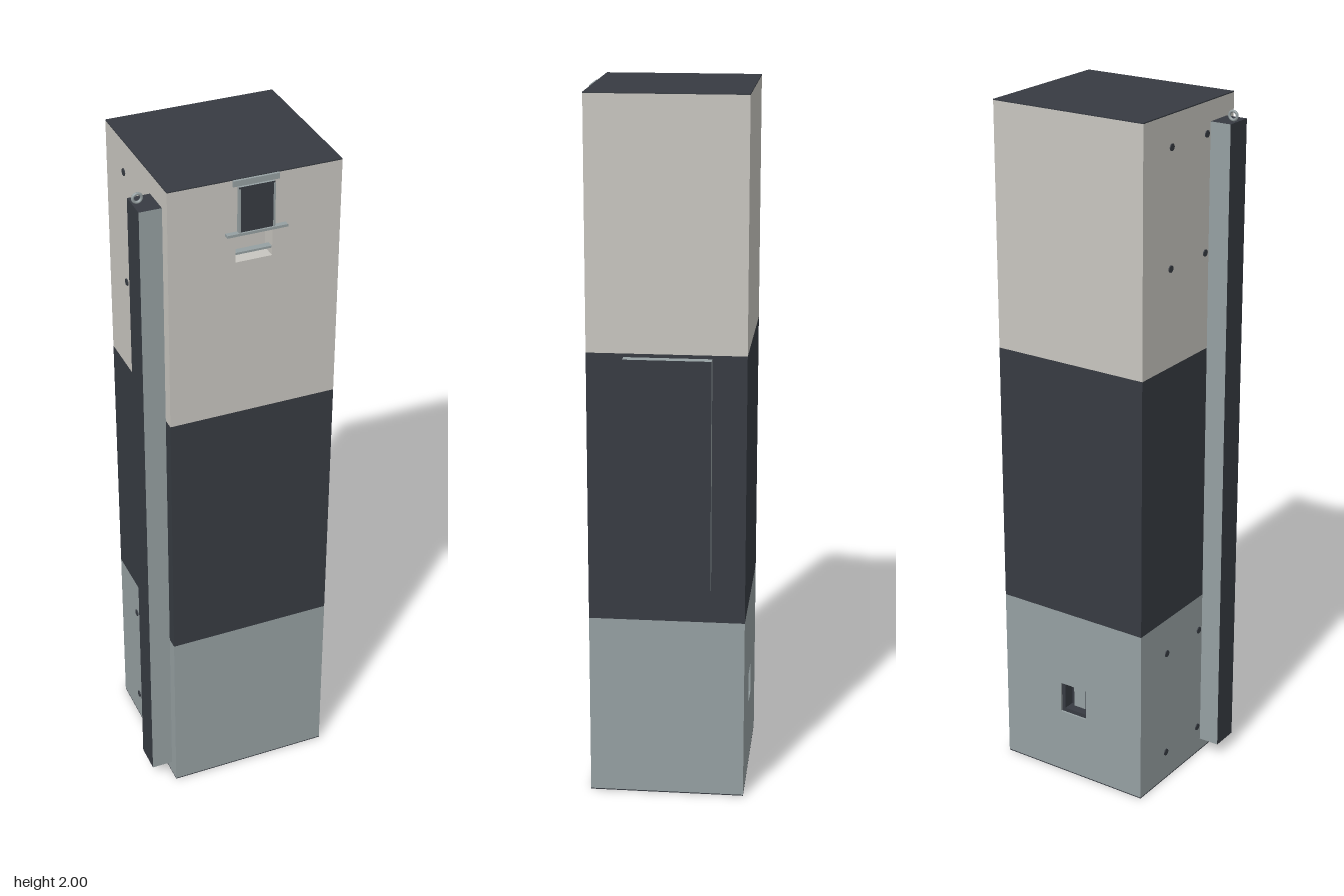
import * as THREE from 'three';

export function createModel() {
  const model = new THREE.Group();
  const paint = (name, color) => {
    const m = new THREE.MeshStandardMaterial({ color });
    m.name = name;
    return m;
  };
  const beige = paint('warm beige', 0xc8c6c0);
  const dark = paint('charcoal', 0x373b42);
  const grey = paint('cool grey', 0x96a0a2);

  const add = (name, geometry, material, parent = model) => {
    const mesh = new THREE.Mesh(geometry, material);
    mesh.name = name;
    parent.add(mesh);
    return mesh;
  };
  // Box given by its limits; material may be an array in +x -x +y -y +z -z order
  const box = (name, [x0, x1], [y0, y1], [z0, z1], material) => {
    const g = new THREE.BoxGeometry(x1 - x0, y1 - y0, z1 - z0);
    g.translate((x0 + x1) / 2, (y0 + y1) / 2, (z0 + z1) / 2);
    return add(name, g, material);
  };
  // Slab whose rectangular opening forms the walls of a recess
  const openSlab = (name, [x0, x1], [y0, y1], [z0, z1], [hx0, hx1, hy0, hy1], material) => {
    const rect = (Type, a, b, c, d) => {
      const p = new Type();
      p.moveTo(a, c).lineTo(b, c).lineTo(b, d).lineTo(a, d).closePath();
      return p;
    };
    const shape = rect(THREE.Shape, x0, x1, y0, y1);
    shape.holes.push(rect(THREE.Path, hx0, hx1, hy0, hy1));
    const g = new THREE.ExtrudeGeometry(shape, { depth: z1 - z0, bevelEnabled: false });
    g.translate(0, 0, z0);
    return add(name, g, material);
  };

  // Cabinet: three colour bands between thin dark end caps
  const X = [-0.222, 0.256], Z = [-0.228, 0.212];
  const recess = 0.045;
  box('bottomCap', X, [0, 0.003], Z, dark);
  box('lowerBand', X, [0.003, 0.53], [Z[0] + recess, Z[1]], grey);
  openSlab('lowerBandBack', X, [0.003, 0.53], [Z[0], Z[0] + recess], [-0.03, 0.06, 0.2, 0.295], grey);
  box('middleBand', X, [0.53, 1.3], Z, dark);
  box('upperBand', X, [1.3, 1.997], [Z[0], Z[1] - recess], beige);
  openSlab('upperBandFront', X, [1.3, 1.997], [Z[1] - recess, Z[1]], [-0.037, 0.065, 1.762, 1.847], beige);
  box('topCap', X, [1.997, 2], Z, dark);

  // Front reader unit above its tray recess
  box('readerUnit', [-0.033, 0.066], [1.852, 1.98], [0.212, 0.222], [grey, grey, grey, grey, dark, grey]);
  box('readerHood', [-0.047, 0.08], [1.982, 1.998], [0.212, 0.219], grey);
  box('readerShelf', [-0.066, 0.102], [1.845, 1.852], [0.212, 0.227], grey);
  for (const x of [-0.033, 0.062]) box('readerSideRail', [x, x + 0.004], [1.852, 1.975], [0.222, 0.226], grey);
  box('trayLip', [-0.037, 0.065], [1.782, 1.788], [0.19, 0.209], grey);

  // Rear socket inside the lower recess
  box('socketBack', [-0.03, 0.06], [0.2, 0.295], [-0.188, -0.183], dark);
  box('socketSideLeft', [0.048, 0.06], [0.2, 0.295], [-0.222, -0.188], dark);
  box('socketSideRight', [-0.03, -0.024], [0.2, 0.295], [-0.222, -0.188], dark);
  box('socketSill', [-0.024, 0.048], [0.2, 0.212], [-0.222, -0.188], dark);
  box('socketPlug', [-0.018, 0.025], [0.222, 0.285], [-0.21, -0.188], grey);

  // Raised side panel with a dark face and a row of vents underneath
  box('sidePanel', [0.256, 0.284], [0.63, 1.29], [-0.133, 0.109], [dark, grey, grey, grey, grey, grey]);
  for (let i = 0; i < 6; i++) {
    const z = -0.11 + i * 0.036;
    box('panelVent', [0.262, 0.278], [0.628, 0.63], [z, z + 0.018], dark);
  }

  // Tall post along the other side, with a ring on top
  box('sidePost', [-0.284, -0.222], [0.04, 1.94], [0.095, 0.178], [dark, dark, dark, dark, grey, grey]);
  const ring = add('postRing', new THREE.TorusGeometry(0.012, 0.004, 8, 20), grey);
  ring.position.set(-0.27, 1.955, 0.131);

  // Screw heads on the post side of the cabinet
  for (const y of [0.09, 0.42, 1.58, 1.91]) {
    for (const z of [-0.095, 0.077]) {
      const screw = add('screwHead', new THREE.CylinderGeometry(0.01, 0.01, 0.003, 12), dark);
      screw.rotation.z = Math.PI / 2;
      screw.position.set(-0.2235, y, z);
    }
  }
  return model;
}
